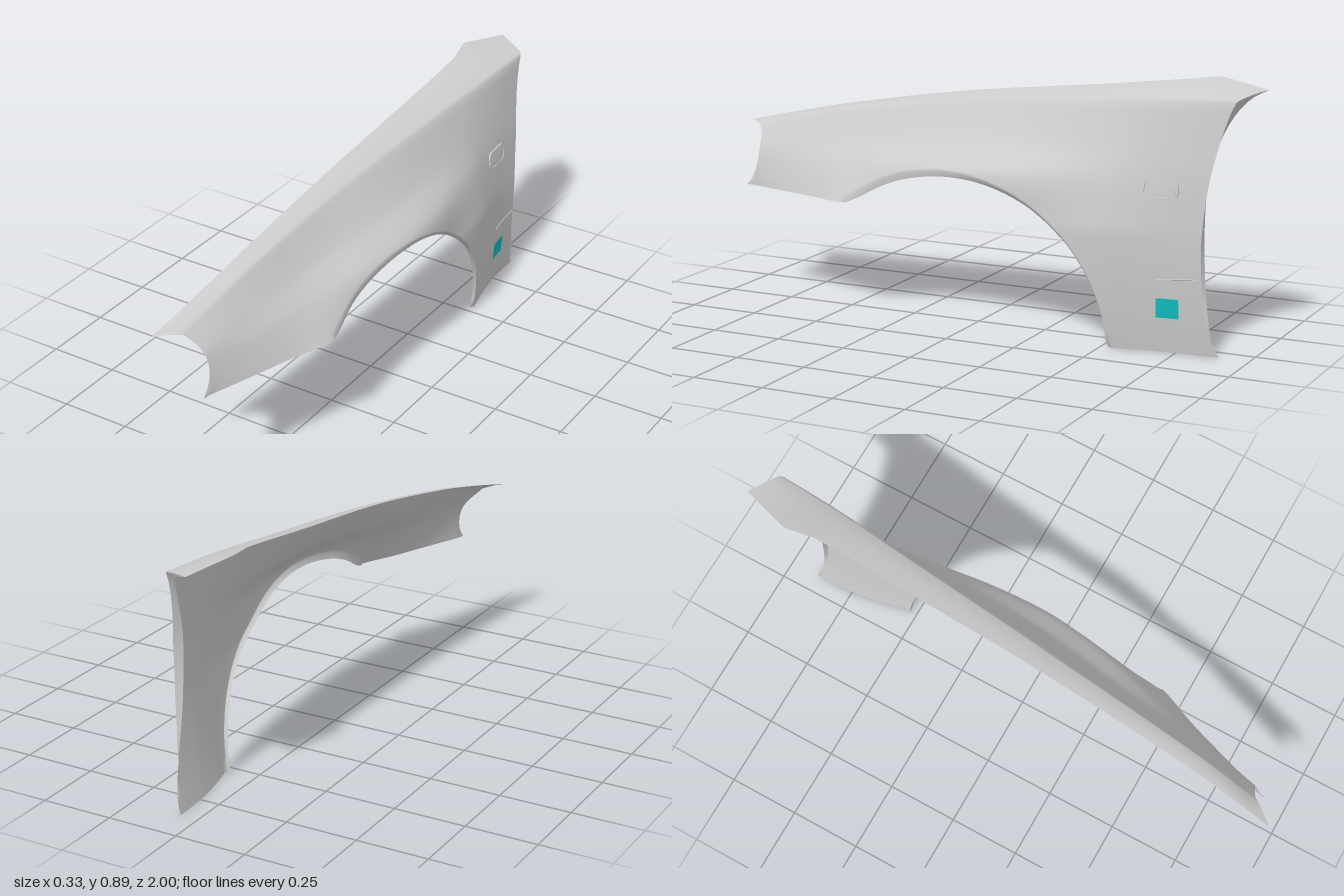
import * as THREE from 'three';

const { lerp } = THREE.MathUtils;

// Smooth interpolation of rows [key, a, b, ...] sorted by falling key
function interp(rows, key, smooth = true) {
  const n = rows.length - 1;
  const k = Math.min(rows[0][0], Math.max(rows[n][0], key));
  let i = 0;
  while (i < n - 1 && k < rows[i + 1][0]) i++;
  const h = rows[i + 1][0] - rows[i][0], t = (k - rows[i][0]) / h;
  const slope = (j, c) => {
    const p = rows[Math.max(0, j - 1)], q = rows[Math.min(n, j + 1)];
    return ((q[c] - p[c]) / (q[0] - p[0])) * h;
  };
  return rows[0].slice(1).map((_, m) => {
    const c = m + 1, a = rows[i][c], b = rows[i + 1][c];
    if (!smooth) return lerp(a, b, t);
    const t2 = t * t, t3 = t2 * t;
    return a * (2 * t3 - 3 * t2 + 1) + b * (3 * t2 - 2 * t3)
      + slope(i, c) * (t3 - 2 * t2 + t) + slope(i + 1, c) * (t3 - t2);
  });
}

// Inner upper edge: z, x, y
const HOOD_EDGE = [
  [1, -0.162, 0.603], [0.8, -0.143, 0.65], [0.55, -0.128, 0.703], [0.1, -0.111, 0.779], [-0.4, -0.102, 0.838],
  [-0.72, -0.1, 0.878], [-0.82, -0.12, 0.89], [-1, -0.06, 0.866],
];
// Where the inner edge lies for each shoulder z
const EDGE_Z = [[0.93, 1], [0.5, 0.52], [-0.77, -0.82], [-0.94, -1]];

// Side sections: z, shoulder y, then x at the shoulder, 65 %, 40 % and 0 % height
const SECTIONS = [
  [0.92, 0.595, -0.1, -0.045, -0.03, -0.018],
  [0.75, 0.643, -0.082, -0.025, 0.008, 0.043],
  [0.6, 0.678, -0.071, -0.008, 0.042, 0.095],
  [0.45, 0.704, -0.06, 0.008, 0.078, 0.156],
  [0.3, 0.727, -0.049, 0.03, 0.118, 0.168],
  [0.15, 0.748, -0.038, 0.052, 0.146, 0.166],
  [0, 0.766, -0.025, 0.066, 0.159, 0.164],
  [-0.2, 0.786, -0.008, 0.07, 0.15, 0.163],
  [-0.4, 0.803, 0.01, 0.072, 0.125, 0.156],
  [-0.52, 0.814, 0.021, 0.073, 0.111, 0.143],
  [-0.62, 0.822, 0.032, 0.072, 0.097, 0.12],
  [-0.75, 0.832, 0.043, 0.071, 0.088, 0.1],
  [-0.95, 0.844, 0.053, 0.068, 0.082, 0.092],
];

const shoulderY = (z) => interp(SECTIONS, z)[0];

// Outward position of the side skin at a given height and length
function sideX(y, z) {
  const [top, x1, x2, x3, x4] = interp(SECTIONS, z);
  const s = (y - 0.4) / (top - 0.4);
  const x = interp([[1, x1], [0.65, x2], [0.4, x3], [0, x4]], s)[0];
  return x - 0.19 * Math.max(0, 0.4 - y) ** 2;
}

const arch = new THREE.CatmullRomCurve3([
  [0.44, 0.403], [0.4, 0.42], [0.3, 0.473], [0.2, 0.507], [0.05, 0.528], [-0.1, 0.513],
  [-0.25, 0.453], [-0.4, 0.33], [-0.48, 0.2], [-0.517, 0.08], [-0.525, 0],
].map(([z, y]) => new THREE.Vector3(0, y, z)));

// Stations along the lower edge: nose, wheel arch, rear
const stations = [];
for (let i = 0; i < 20; i++) {
  const t = i / 20;
  stations.push({ z: lerp(0.94, 0.44, t), y: lerp(0.392, 0.403, t), top: lerp(0.93, 0.5, t), bow: -0.04 * (1 - t) ** 2, lip: 0 });
}
for (let i = 0; i <= 48; i++) {
  const p = arch.getPointAt(i / 48);
  stations.push({ z: p.z, y: p.y, top: lerp(0.5, -0.45, i / 48), bow: 0, lip: 0.013 });
}
for (let i = 1; i <= 26; i++) {
  const t = i / 26;
  stations.push({ z: lerp(-0.525, -0.89, t), y: 0, top: lerp(-0.45, -0.94, t), bow: 0.073 * t * t, lip: 0 });
}

// One column of the skin: inner edge, over the shoulder, down to a narrow bevel at the lower edge
const ROWS = 28;
function column({ z, y, top, bow, lip }) {
  const yc = shoulderY(top), xc = sideX(yc, top);
  const ze = interp(EDGE_Z, top, false)[0];
  const [xe, ye] = interp(HOOD_EDGE, ze, ze > -0.72);
  const pts = [];
  for (const t of [0, 0.3, 0.6, 0.94]) {
    const crown = 0.003 * Math.sin(Math.PI * t);
    pts.push(new THREE.Vector3(lerp(xe, xc, t), lerp(ye, yc, t) + crown, lerp(ze, top, t)));
  }
  const bevelStart = 1 - 0.022 / Math.hypot(yc - y, top - z);
  for (let j = 0; j <= ROWS; j++) {
    const v = j === ROWS ? 1 : lerp(0.01, bevelStart, j / (ROWS - 1));
    const py = lerp(yc, y, v), pz = lerp(top, z, v) + bow * Math.max(0, Math.sin(Math.PI * v)) ** 0.65;
    pts.push(new THREE.Vector3(sideX(py, pz) - (j === ROWS ? lip : 0), py, pz));
  }
  return pts;
}

// Surface through columns of points, seen from both sides
function skin(name, columns) {
  const rows = columns[0].length, index = [];
  for (let i = 0; i < columns.length - 1; i++) {
    for (let j = 0; j < rows - 1; j++) {
      const a = i * rows + j, d = a + rows;
      index.push(a, a + 1, d, d, a + 1, d + 1);
    }
  }
  const g = new THREE.BufferGeometry().setFromPoints(columns.flat());
  g.setIndex(index);
  g.computeVertexNormals();
  return part(name, g);
}

function part(name, geometry, color = 0xcccccc) {
  const mesh = new THREE.Mesh(geometry, new THREE.MeshStandardMaterial({ color, side: THREE.DoubleSide }));
  mesh.name = name;
  return mesh;
}

// Lay a flat geometry (right = rearward) onto the side skin
function drape(geometry) {
  const p = geometry.attributes.position;
  for (let i = 0; i < p.count; i++) {
    const y = p.getY(i), z = -p.getX(i);
    p.setXYZ(i, sideX(y, z) + p.getZ(i), y, z);
  }
  geometry.computeVertexNormals();
  return geometry;
}

function roundedRect(path, cx, cy, w, h, r) {
  const x = w / 2 - r, y = h / 2 - r;
  path.absarc(cx + x, cy + y, r, 0, Math.PI / 2);
  path.absarc(cx - x, cy + y, r, Math.PI / 2, Math.PI);
  path.absarc(cx - x, cy - y, r, Math.PI, Math.PI * 1.5);
  path.absarc(cx + x, cy - y, r, Math.PI * 1.5, Math.PI * 2);
  path.closePath();
  return path;
}

export function createModel() {
  const group = new THREE.Group();
  group.name = 'fender';

  const columns = stations.map(column);
  group.add(skin('outerPanel', columns));

  // Flange folded inward along the rear edge
  const inner = new THREE.CatmullRomCurve3([
    [-0.06, 0.866, -1], [0.005, 0.838, -0.957], [0.033, 0.77, -0.908], [0.052, 0.62, -0.853],
    [0.066, 0.4, -0.84], [0.075, 0.06, -0.873], [0.051, 0, -0.89],
  ].map((p) => new THREE.Vector3(...p)));
  const rear = columns[columns.length - 1];
  group.add(skin('rearFlange', rear.map((p, j) => [p, inner.getPointAt(j / (rear.length - 1))])));

  // Side marker lamp: raised rim and lens
  const rim = roundedRect(new THREE.Shape(), 0.697, 0.545, 0.122, 0.066, 0.026);
  rim.holes.push(roundedRect(new THREE.Path(), 0.697, 0.545, 0.108, 0.052, 0.02));
  group.add(part('markerRim', drape(new THREE.ExtrudeGeometry(rim, { depth: 0.005, bevelEnabled: false }))));
  const lens = roundedRect(new THREE.Shape(), 0.697, 0.545, 0.106, 0.05, 0.02);
  group.add(part('markerLens', drape(new THREE.ExtrudeGeometry(lens, { depth: 0.003, bevelEnabled: false }))));

  // Fine trim crease running to the rear edge
  const crease = new THREE.CatmullRomCurve3([0.69, 0.74, 0.79, 0.838].map((x, i) => new THREE.Vector3(x, 0.247 + i * 0.004, 0.0015)));
  group.add(part('trimCrease', drape(new THREE.TubeGeometry(crease, 12, 0.0015, 6))));

  // Coloured patch
  const patch = new THREE.PlaneGeometry(0.076, 0.066, 4, 4).translate(0.727, 0.152, 0.004);
  group.add(part('colourPatch', drape(patch), 0x11bfc0));

  return group;
}
